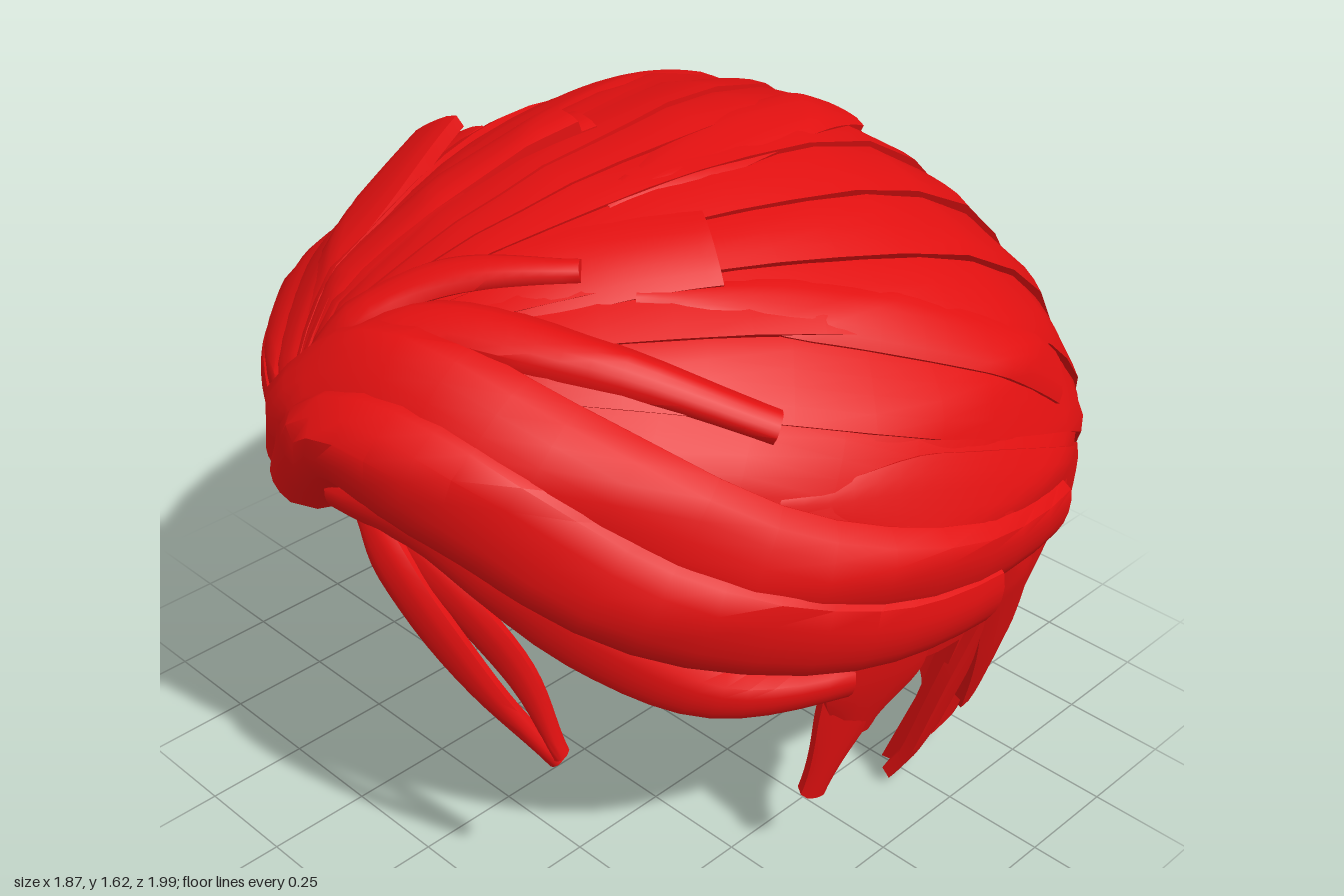
import * as THREE from 'three';
import { toCreasedNormals } from 'three/addons/utils/BufferGeometryUtils.js';

const V = (a) => new THREE.Vector3(...a);
const CENTRE = new THREE.Vector3(0, 0.75, -0.1);
const FRONT_POWER = 1.9, BACK_POWER = 2.3; // roundness of the head outline from above

// Head volume rings: height, half width, front depth, back depth
const RINGS = [
  [0, 0.59, 0.8, 0.64], [0.12, 0.66, 0.82, 0.76], [0.4, 0.75, 0.87, 0.87], [0.65, 0.83, 0.92, 0.88],
  [0.95, 0.89, 0.98, 0.82], [1.2, 0.8, 1.0, 0.68], [1.38, 0.62, 0.87, 0.53], [1.5, 0.42, 0.64, 0.38],
  [1.57, 0.25, 0.4, 0.26], [1.61, 0.02, 0.02, 0.02],
];
// Hem height by angle round the head (0 = front, positive = left side)
const HEM = [
  [-180, 0.02], [-150, 0.02], [-97, 0.05], [-94, 0.52], [-75, 0.52], [-64, 0.75], [-50, 0.98], [-20, 1.05],
  [0, 1.0], [20, 0.98], [38, 0.8], [52, 0.64], [75, 0.6], [94, 0.53], [97, 0.05], [150, 0.02], [180, 0.02],
];

function lookup(table, key, col) {
  let i = 0;
  while (i < table.length - 2 && table[i + 1][0] < key) i++;
  const k = THREE.MathUtils.clamp((key - table[i][0]) / (table[i + 1][0] - table[i][0]), 0, 1);
  return THREE.MathUtils.lerp(table[i][col], table[i + 1][col], k);
}

// Push a point along its ray from the centre onto the head surface, plus a lift
function project(p, lift) {
  const d = p.clone().sub(CENTRE).normalize();
  const front = d.z > 0, power = front ? FRONT_POWER : BACK_POWER;
  let lo = 0, hi = 1.5;
  for (let k = 0; k < 22; k++) {
    const r = (lo + hi) / 2, y = d.y * r + CENTRE.y;
    const e = Math.abs((d.x * r) / lookup(RINGS, y, 1)) ** power + Math.abs((d.z * r) / lookup(RINGS, y, front ? 2 : 3)) ** power;
    if (e > 1 || y > 1.61) hi = r; else lo = r;
  }
  const out = d.multiplyScalar(lo + lift).add(CENTRE);
  out.y = Math.max(out.y, 0.005);
  return out;
}

function finish(pos, idx, crease) {
  const g = new THREE.BufferGeometry();
  g.setAttribute('position', new THREE.Float32BufferAttribute(pos, 3));
  g.setIndex(idx);
  return toCreasedNormals(g, crease);
}

// Hollow cap: outer wall down to the hem, then back up the inner wall
function capGeometry() {
  const pos = [], idx = [], N = 180, M = 14, row = 2 * M + 2;
  const bend = (v, power) => Math.sign(v) * Math.abs(v) ** (2 / power);
  for (let i = 0; i <= N; i++) {
    const deg = -180 + (360 * i) / N, a = THREE.MathUtils.degToRad(deg), c = Math.cos(a);
    const power = c > 0 ? FRONT_POWER : BACK_POWER;
    const hem = lookup(HEM, deg, 1), thick = 0.05 + 0.05 * Math.max(0, c);
    for (let j = 0; j < row; j++) {
      const inner = j > M, s = (inner ? row - 1 - j : j) / M;
      const y = hem + (1.6 - hem) * (1 - s * s), inset = inner ? thick : 0.01;
      const w = Math.max(0.01, lookup(RINGS, y, 1) - inset);
      const d = Math.max(0.01, lookup(RINGS, y, c > 0 ? 2 : 3) - inset);
      pos.push(w * bend(Math.sin(a), power), y - (inner ? 0.04 * (1 - s) : 0), CENTRE.z + d * bend(c, power));
    }
  }
  for (let i = 0; i < N; i++) for (let j = 0; j < row - 1; j++) {
    const p = i * row + j, q = p + row;
    idx.push(p, p + 1, q, q, p + 1, q + 1);
  }
  return finish(pos, idx, 0.7);
}

// Flat, slightly domed lock following a path; hugs the head unless free; tilt overlaps it like a shingle
function lockGeometry(points, o) {
  const { width = 0.12, lift = 0.005, endLift = lift, dome = 0.02, depth = 0.03, tip = 0.6, root = 0.4, tilt = 0, free = false } = o;
  const curve = new THREE.CatmullRomCurve3(points.map((p) => (free ? V(p) : project(V(p), 0))), false, 'centripetal');
  const N = 20, M = 6, row = 2 * M + 2, pos = [], idx = [];
  for (let i = 0; i <= N; i++) {
    const t = i / N, p = curve.getPoint(t), n = p.clone().sub(CENTRE).normalize();
    const side = curve.getTangent(t).cross(n).normalize();
    const grow = THREE.MathUtils.smoothstep(t, 0, 0.35), fade = THREE.MathUtils.smoothstep(t, 0.5, 1);
    const w = width * (root + (1 - root) * grow) * (1 - (1 - tip) * fade);
    const h = THREE.MathUtils.lerp(lift, endLift, t * t);
    for (let j = 0; j < row; j++) {
      const top = j <= M, v = ((top ? j : row - 1 - j) / M) * 2 - 1;
      const up = h + tilt * v + (top ? dome * Math.sqrt(1 - v * v) : -depth);
      const q = p.clone().addScaledVector(side, v * w);
      const r = free ? q.addScaledVector(n, up) : project(q, up);
      pos.push(r.x, r.y, r.z);
    }
  }
  for (let i = 0; i < N; i++) for (let j = 0; j < row; j++) {
    const a = i * row + j, b = i * row + ((j + 1) % row);
    idx.push(a, b, a + row, b, b + row, a + row);
  }
  for (let j = 0; j < M; j++) {
    const a = j, b = row - 1 - j, e = N * row;
    idx.push(a, b, a + 1, a + 1, b, b - 1, e + a, e + a + 1, e + b, e + a + 1, e + b - 1, e + b);
  }
  return finish(pos, idx, 0.75);
}

export function createModel() {
  const group = new THREE.Group();
  group.name = 'hair';
  const red = new THREE.MeshStandardMaterial({ color: 0xe01010, side: THREE.DoubleSide });
  red.name = 'hairRed';
  const lock = (name, points, o) => add(name, lockGeometry(points, o));
  const mirror = (points) => points.map(([x, y, z]) => [-x, y, z]);
  function add(name, geometry) {
    const m = new THREE.Mesh(geometry, red);
    m.name = name;
    group.add(m);
  }

  add('cap', capGeometry());

  // Long locks fanning from the front parting over the crown to the nape
  for (let i = -6; i <= 6; i++) {
    const u = i / 6, odd = Math.abs(i) % 2;
    lock('crownLock', [
      [-0.14 + 0.12 * u, 1.22, 0.8], [0.42 * u - 0.08, 1.5 - 0.3 * u * u, 0.5], [0.78 * u, 1.6 - 0.62 * u * u, -0.05],
      [0.84 * u - 0.03, 1.1 - 0.25 * u * u, -0.65], [0.74 * u - 0.06, 0.42 + 0.12 * odd, -0.85],
    ], { width: 0.115, lift: 0.004, tilt: 0.014, dome: 0.006, tip: 0.85, root: 0.3 });
  }
  // Vertical locks round the nape
  for (let i = -5; i <= 5; i++) {
    const a = i * 0.265, x = Math.sin(a), z = -Math.cos(a), odd = Math.abs(i) % 2;
    lock('napeLock', [
      [0.86 * x, 0.85, 0.9 * z - 0.12], [0.78 * x, 0.45, 0.9 * z - 0.1], [0.62 * x, odd ? 0.02 : 0.05, 0.7 * z - 0.1],
    ], { width: 0.125, lift: -0.002, tilt: 0.012, dome: 0.006, tip: 0.75, root: 0.7 });
  }
  // Broad blunt locks lying over the crown
  const flat = { lift: 0.006, endLift: 0.02, dome: 0.01, tip: 0.85, root: 0.35 };
  const overlays = [
    [[[-0.2, 1.2, 0.8], [-0.42, 1.4, 0.45], [-0.53, 1.42, 0.1]], 0.09],
    [[[-0.2, 1.2, 0.8], [-0.22, 1.45, 0.5], [-0.12, 1.6, 0.1]], 0.07],
    [[[0.0, 1.3, 0.8], [0.2, 1.45, 0.45], [0.36, 1.47, 0.2]], 0.11],
    [[[-0.25, 1.5, 0.4], [-0.3, 1.55, 0], [-0.3, 1.45, -0.44]], 0.09],
    [[[0.15, 1.55, 0.3], [0.17, 1.6, -0.1], [0.12, 1.5, -0.44]], 0.09],
  ];
  for (const [p, width] of overlays) lock('crownOverlay', p, { ...flat, width });
  // Raised tips breaking the top outline
  lock('topTip', [[-0.2, 1.2, 0.8], [-0.2, 1.45, 0.5], [-0.13, 1.6, 0.14]], { ...flat, width: 0.07, endLift: 0.045 });
  lock('topTip', [[-0.22, 1.15, 0.8], [-0.38, 1.4, 0.5], [-0.47, 1.47, 0.2]], { ...flat, width: 0.09, endLift: 0.075 });

  // Layered locks with blunt tips on both sides
  const layers = [
    [[[0.35, 1.45, 0.4], [0.6, 1.32, 0.0], [0.78, 1.1, -0.45]], 0.07],
    [[[0.85, 0.98, 0.3], [0.92, 0.9, -0.1], [0.86, 0.82, -0.42]], 0.085],
    [[[0.75, 1.12, 0.4], [0.88, 0.98, -0.1], [0.78, 0.74, -0.64]], 0.11],
    [[[0.88, 0.78, -0.2], [0.83, 0.5, -0.38], [0.65, 0.15, -0.5]], 0.1],
  ];
  for (const [p, width] of layers) {
    lock('leftLayer', p, { ...flat, width });
    lock('rightLayer', mirror(p), { ...flat, width: width * 1.2 });
  }

  // Swept quiff rolling up from the parting and across to the left side
  const quiff = [
    [[[-0.2, 1.04, 0.85], [-0.1, 1.24, 0.85], [0.08, 1.34, 0.85], [0.42, 1.22, 0.7], [0.75, 1.0, 0.4], [0.92, 0.88, 0.0], [0.92, 0.83, -0.4]], 0.13, 0.03, 0.045],
    [[[-0.12, 1.04, 0.9], [0.03, 1.2, 0.9], [0.3, 1.14, 0.8], [0.6, 0.94, 0.6], [0.85, 0.8, 0.25], [0.9, 0.76, -0.1]], 0.15, 0.035, 0.07],
    [[[0.0, 1.06, 0.9], [0.25, 1.05, 0.85], [0.5, 0.83, 0.7], [0.68, 0.67, 0.5], [0.86, 0.64, 0.25]], 0.085, 0.015, 0.04],
    [[[-0.1, 1.2, 0.85], [0.05, 1.4, 0.75], [0.35, 1.36, 0.55], [0.62, 1.22, 0.3]], 0.06, 0.015, 0.025],
    [[[-0.18, 1.1, 0.85], [0.0, 1.42, 0.65], [0.25, 1.48, 0.45]], 0.05, 0.025, 0.025],
  ];
  for (const [p, width, lift, dome] of quiff) {
    lock('quiffLock', p, { width, lift, dome, endLift: 0.015, depth: 0.06, tip: 0.6, root: 0.45 });
  }

  // Right side fringe combed away from the parting
  const fringe = [
    [[[-0.15, 1.05, 0.85], [-0.4, 1.1, 0.7], [-0.65, 1.08, 0.5], [-0.86, 0.95, 0.2]], 0.06, 0.03],
    [[[-0.18, 1.12, 0.85], [-0.45, 1.2, 0.65], [-0.75, 1.12, 0.3], [-0.92, 0.98, -0.2]], 0.11, 0.02],
    [[[-0.2, 1.18, 0.8], [-0.45, 1.32, 0.5], [-0.72, 1.18, 0.1], [-0.84, 1.02, -0.35]], 0.12, 0.012],
    [[[-0.62, 1.02, 0.55], [-0.8, 0.85, 0.33], [-0.84, 0.55, 0.15]], 0.1, 0.015],
    [[[-0.7, 1.0, 0.4], [-0.87, 0.8, 0.1], [-0.82, 0.48, -0.1]], 0.13, 0.015],
    [[[-0.85, 1.0, 0.1], [-0.9, 0.8, -0.15], [-0.82, 0.42, -0.3]], 0.14, 0.012],
  ];
  for (const [p, width, dome] of fringe) lock('fringeLock', p, { width, dome, lift: 0.012, endLift: 0.025 });

  // Loose strands hanging over the forehead
  const loose = { free: true, dome: 0.015, depth: 0.015, tip: 0.4, root: 0.5 };
  lock('looseStrand', [[0.02, 1.1, 0.88], [0.17, 0.97, 0.91], [0.31, 0.72, 0.83], [0.42, 0.5, 0.71]], { ...loose, width: 0.05 });
  lock('looseStrand', [[0.06, 1.08, 0.88], [0.25, 0.95, 0.86], [0.37, 0.72, 0.76], [0.43, 0.52, 0.71]], { ...loose, width: 0.045 });

  // Sideburns in front of the ears
  const burn = { free: true, dome: 0.015, depth: 0.02, tip: 0.45, root: 0.9 };
  const burns = [
    [[[0.77, 0.75, 0.16], [0.73, 0.5, 0.13], [0.67, 0.24, 0.17]], 0.08],
    [[[0.8, 0.75, 0.1], [0.77, 0.58, 0.1], [0.71, 0.4, 0.1]], 0.13],
  ];
  for (const [p, width] of burns) {
    lock('leftSideburn', p, { ...burn, width });
    lock('rightSideburn', mirror(p), { ...burn, width });
  }
  lock('rightTemple', [[-0.66, 1.0, 0.35], [-0.63, 0.7, 0.27], [-0.58, 0.32, 0.17]], { ...burn, width: 0.1 });
  return group;
}
